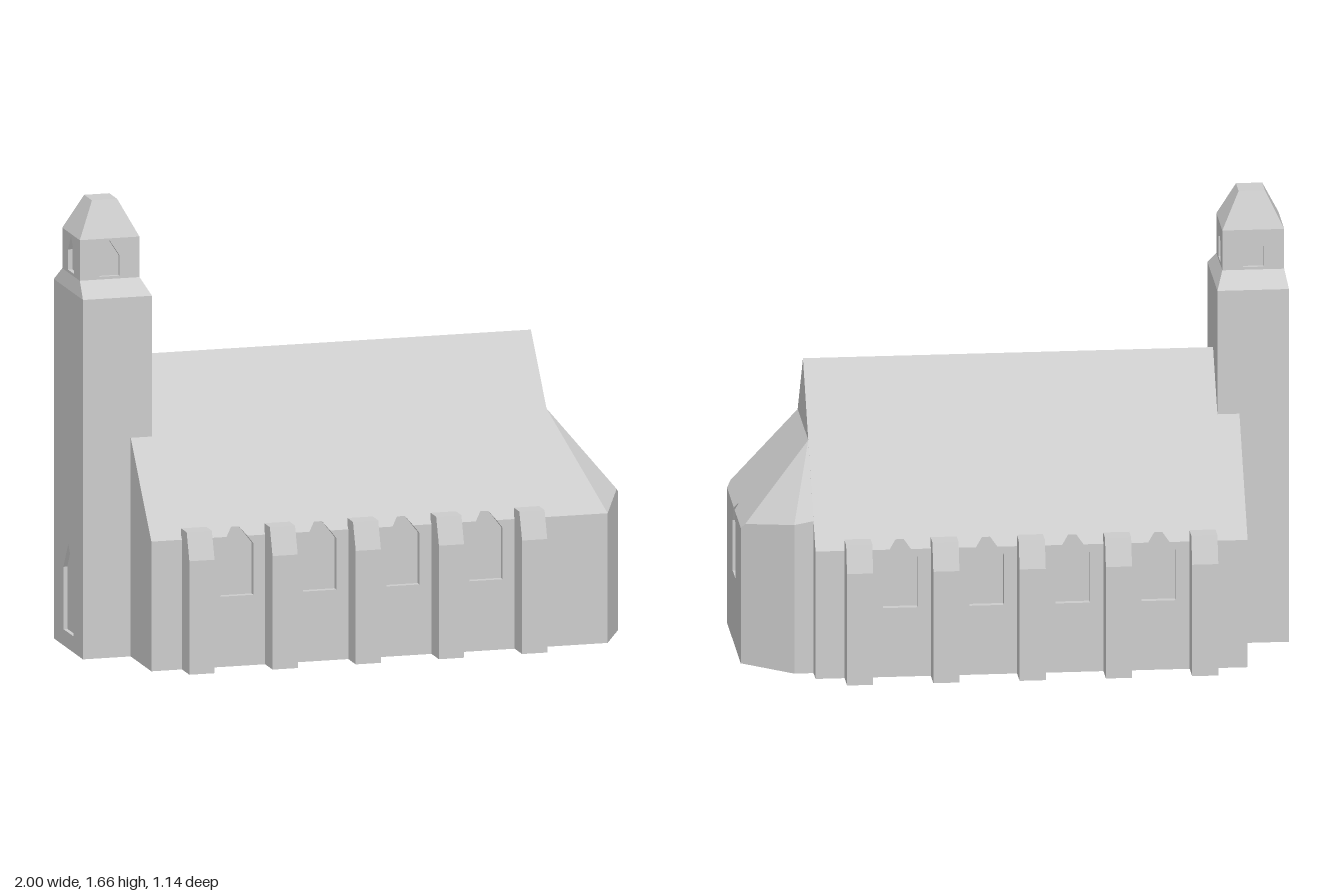
import * as THREE from 'three';
import { ConvexGeometry } from 'three/addons/geometries/ConvexGeometry.js';

const stone = new THREE.MeshStandardMaterial({ color: 0xcccccc });
stone.name = 'stone';

const RIDGE = 1.07, HALF = 0.475, EAVE = 0.48, RECESS = 0.025;
const roofY = (z) => RIDGE - (Math.abs(z) * (RIDGE - EAVE)) / HALF;

function add(group, name, geometry, x = 0, y = 0, z = 0, turn = 0) {
  const mesh = new THREE.Mesh(geometry, stone);
  mesh.name = name;
  mesh.position.set(x, y, z);
  mesh.rotation.y = turn;
  group.add(mesh);
  return mesh;
}

const extrude = (shape, depth) => new THREE.ExtrudeGeometry(shape, { depth, bevelEnabled: false });
const polygon = (pts) => new THREE.Shape(pts.map(([x, y]) => new THREE.Vector2(x, y)));

// Convex solid from corner triples
const hull = (pts) => new ConvexGeometry(pts.map((p) => new THREE.Vector3(...p)));

// Tapered block between two rectangles [x0, x1, z0, z1]
function frustum(r0, y0, r1, y1) {
  const ring = ([a, b, c, d], y) => [[a, y, c], [b, y, c], [b, y, d], [a, y, d]];
  return hull([...ring(r0, y0), ...ring(r1, y1)]);
}

// Wall layer whose pointed windows break through its sloping top edge
function notchedWall(o) {
  const half = (y) => (o.half * (o.apex - y)) / (o.apex - o.shoulder);
  const pts = [[o.x0, 0], [o.x1, 0], [o.x1, o.innerTop]];
  const a = half(o.innerTop);
  [...o.centres].sort((p, q) => q - p).forEach((c) => {
    pts.push([c + a, o.innerTop], [c + o.half, o.shoulder], [c + o.half, o.sill],
      [c - o.half, o.sill], [c - o.half, o.shoulder], [c - a, o.innerTop]);
  });
  pts.push([o.x0, o.innerTop]);
  const g = extrude(polygon(pts), o.depth);
  const p = g.attributes.position;
  // Drop the outer top edge to the eave and pull in mitred ends
  for (let i = 0; i < p.count; i++) {
    if (p.getZ(i) < o.depth / 2) continue;
    const x = p.getX(i);
    if (Math.abs(x - o.x0) < 1e-4) p.setX(i, x + (o.inset0 || 0));
    if (Math.abs(x - o.x1) < 1e-4) p.setX(i, x - (o.inset1 || 0));
    if (Math.abs(p.getY(i) - o.innerTop) < 1e-4) {
      p.setY(i, o.outerTop);
      const c = o.centres.find((v) => Math.abs(v - x) < o.half);
      if (c !== undefined) p.setX(i, c + Math.sign(x - c) * half(o.outerTop));
    }
  }
  g.computeVertexNormals();
  return g;
}

// Flat panel with one pointed opening, centred on x = 0
function archPanel(width, y0, y1, half, sill, shoulder, apex, depth) {
  const w = width / 2;
  const shape = polygon([[-w, y0], [w, y0], [w, y1], [-w, y1]]);
  shape.holes.push(new THREE.Path([[-half, sill], [-half, shoulder], [0, apex], [half, shoulder], [half, sill]]
    .map(([x, y]) => new THREE.Vector2(x, y))));
  return extrude(shape, depth);
}

function buildNave() {
  const g = new THREE.Group();
  g.name = 'nave';
  const zi = HALF - RECESS;
  const core = polygon([[-zi, 0], [zi, 0], [zi, roofY(zi)], [0, RIDGE], [-zi, roofY(zi)]]);
  add(g, 'naveCore', extrude(core, 1.57), -0.82, 0, 0, Math.PI / 2);

  const centres = [-0.4975, -0.185, 0.128, 0.442];
  const opts = { innerTop: roofY(zi), outerTop: EAVE, depth: RECESS, half: 0.0625, sill: 0.26, shoulder: 0.45, apex: 0.53 };
  add(g, 'frontWall', notchedWall({ ...opts, x0: -0.82, x1: 0.75, centres }), 0, 0, zi);
  add(g, 'backWall', notchedWall({ ...opts, x0: -0.75, x1: 0.82, centres: centres.map((c) => -c) }), 0, 0, -zi, Math.PI);

  // Buttresses along both sides
  const profile = polygon([[0.465, 0], [0.57, 0], [0.57, 0.42], [0.535, 0.52], [0.465, 0.52]]);
  const buttress = extrude(profile, 0.095);
  for (let i = 0; i < 5; i++) {
    const c = -0.657 + i * 0.3135;
    add(g, 'frontButtress', buttress, c + 0.0475, 0, 0, -Math.PI / 2);
    add(g, 'backButtress', buttress, c - 0.0475, 0, 0, Math.PI / 2);
  }
  return g;
}

function buildApse() {
  const g = new THREE.Group();
  g.name = 'apse';
  const xi = 0.985, top = 0.5286;
  // Each eave corner: x, z, wall height
  const corners = [[0.75, HALF, EAVE], [0.9, HALF, EAVE], [xi, 0.301, top], [xi, -0.2625, top],
    [0.82, -0.4, 0.56], [0.75, -0.4, 0.573]];
  const pts = corners.flatMap(([x, z, h]) => [[x, 0, z], [x, h, z]]);
  add(g, 'apseBody', hull([...pts, [0.75, 0.82, 0.2], [0.75, 0.82, -0.2]]));
  add(g, 'apseEndWall', notchedWall({
    x0: -0.301, x1: 0.2625, inset0: 0.031, inset1: 0.0125, centres: [0], innerTop: top, outerTop: 0.51,
    depth: 0.015, half: 0.055, sill: 0.26, shoulder: 0.45, apex: 0.535,
  }), xi, 0, 0, Math.PI / 2);
  return g;
}

function buildTower() {
  const g = new THREE.Group();
  g.name = 'tower';
  const cz = 0.0225, depth = 0.375, recess = 0.015;
  // Shaft with a recessed doorway in its outer face
  const shaft = new THREE.BoxGeometry(0.26 - recess, 1.33, depth);
  add(g, 'towerShaft', shaft, -0.87 + recess / 2, 0.665, cz);
  add(g, 'doorWall', archPanel(depth, 0, 1.33, 0.065, 0.06, 0.29, 0.39, recess), -1 + recess, 0, cz, -Math.PI / 2);

  // Sloping ledge, belfry and cap
  const bell = [-0.99, -0.765, -0.09, 0.135];
  add(g, 'towerLedge', frustum([-1, -0.74, cz - depth / 2, cz + depth / 2], 1.33, bell, 1.385));
  const cx = -0.8775, size = 0.225, d = 0.016;
  add(g, 'belfryCore', new THREE.BoxGeometry(size - 2 * d, 0.15, size - 2 * d), cx, 1.46, cz);
  for (let i = 0; i < 4; i++) {
    const turn = (i * Math.PI) / 2, r = size / 2 - d;
    const panel = archPanel(i % 2 ? size - 2 * d : size, 1.385, 1.535, 0.0375, 1.395, 1.47, 1.528, d);
    add(g, 'belfryWall', panel, cx + Math.sin(turn) * r, 0, cz + Math.cos(turn) * r, turn);
  }
  add(g, 'towerCap', frustum(bell, 1.535, [-0.925, -0.83, -0.03, 0.07], 1.665));
  return g;
}

export function createModel() {
  const model = new THREE.Group();
  model.name = 'church';
  model.add(buildNave(), buildApse(), buildTower());
  return model;
}
